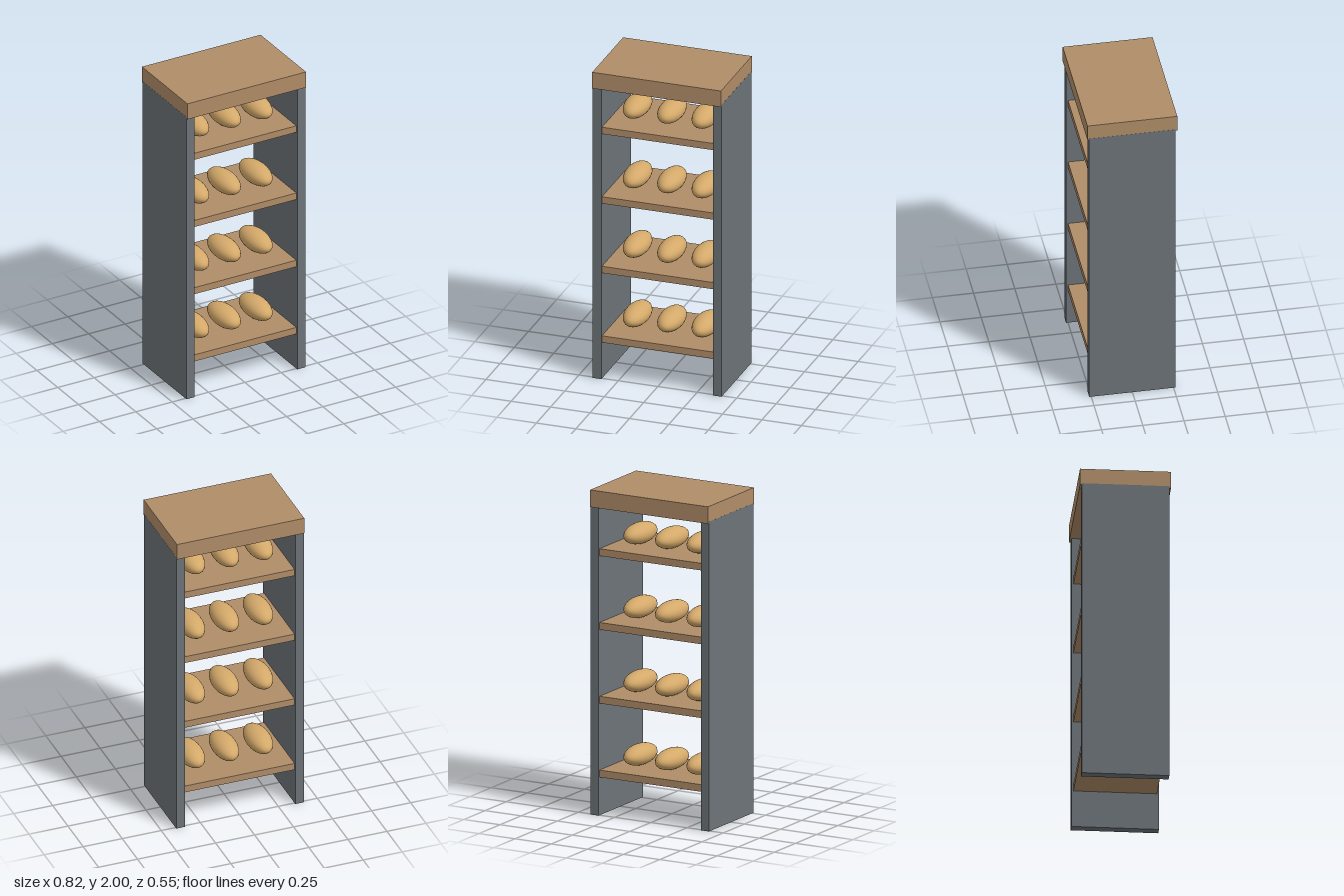
import * as THREE from 'three';

export function createModel() {
  const wood = new THREE.MeshStandardMaterial({ name: 'wood', color: 0xb08d68 });
  const slate = new THREE.MeshStandardMaterial({ name: 'slate grey', color: 0x6c7378 });
  const crust = new THREE.MeshStandardMaterial({ name: 'bread crust', color: 0xd4a96a });

  const model = new THREE.Group();
  model.name = 'breadRack';

  const add = (parent, name, geometry, material, x, y, z = 0) => {
    const mesh = new THREE.Mesh(geometry, material);
    mesh.name = name;
    mesh.position.set(x, y, z);
    parent.add(mesh);
    return mesh;
  };

  // Top slab, overhanging slightly at front and back
  add(model, 'topSlab', new THREE.BoxGeometry(0.816, 0.105, 0.545), wood, 0, 1.9475);

  // Side panels, their tops let into the slab
  const panel = new THREE.BoxGeometry(0.0545, 1.905, 0.524);
  add(model, 'leftPanel', panel, slate, 0.3813, 0.9525);
  add(model, 'rightPanel', panel, slate, -0.3813, 0.9525);

  // Four shelves, each with three loaves
  const shelfBoard = new THREE.BoxGeometry(0.709, 0.044, 0.5);
  const loafShape = new THREE.SphereGeometry(1, 24, 16).scale(0.076, 0.063, 0.155);
  for (let i = 0; i < 4; i++) {
    const shelf = new THREE.Group();
    shelf.name = `shelf${i + 1}`;
    shelf.position.y = 0.278 + i * 0.454;
    model.add(shelf);
    add(shelf, 'shelfBoard', shelfBoard, wood, 0, -0.022);
    for (const x of [-0.218, 0, 0.218]) add(shelf, 'loaf', loafShape, crust, x, 0.062);
  }

  return model;
}
